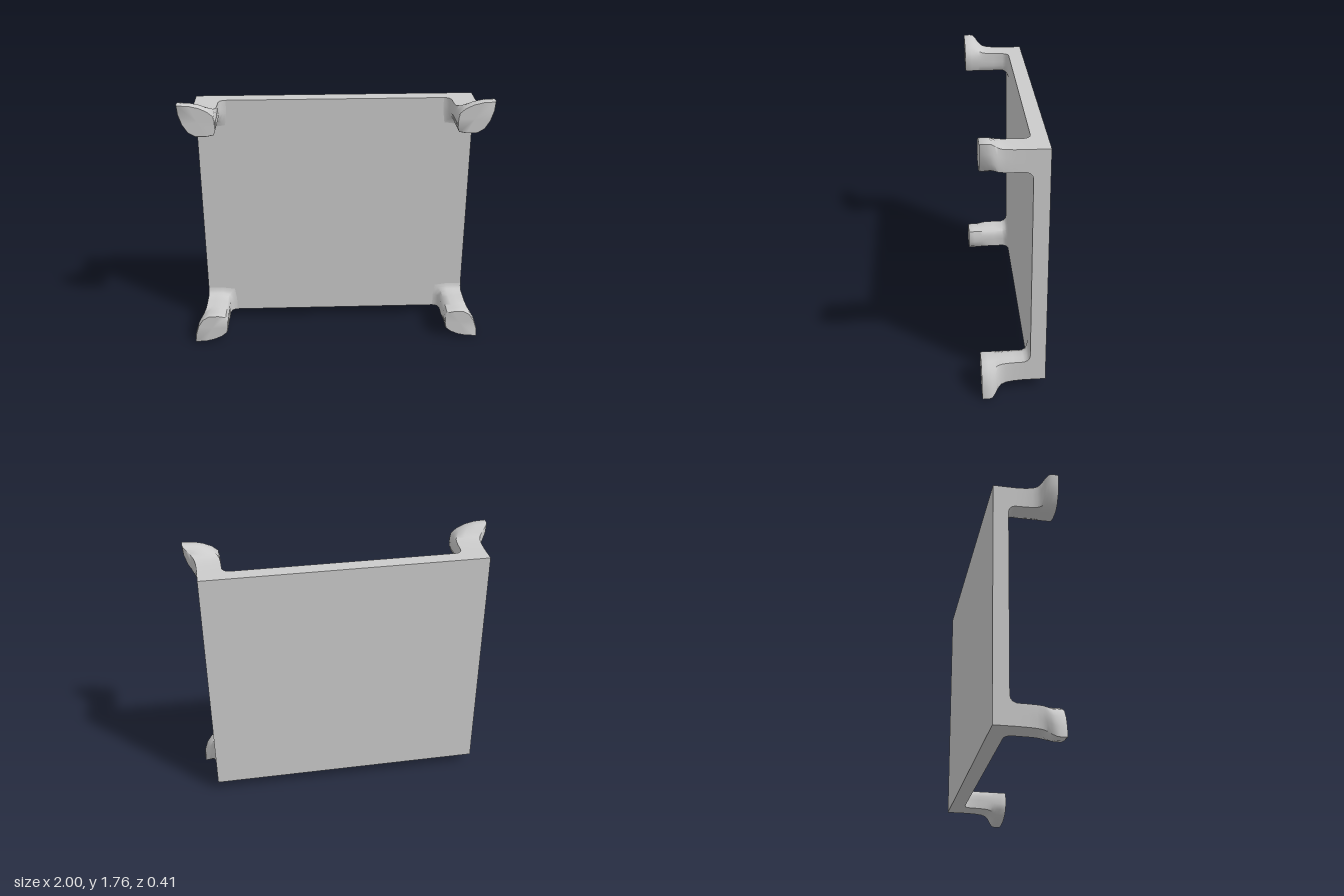
import * as THREE from 'three';
import { toCreasedNormals } from 'three/addons/utils/BufferGeometryUtils.js';

const MID_Y = 0.88, HALF_W = 0.92, HALF_H = 0.805;
const BACK = -0.204, FACE = -0.105, FRONT = 0.204;

// Matching outlines, measured from the leg's inner corner outward
const SHANK = [
  [0, 0.05], [0.012, 0.012], [0.05, 0], [0.1, 0], [0.155, 0], [0.155, 0.045], [0.155, 0.09],
  [0.155, 0.14], [0.11, 0.14], [0.055, 0.14], [0, 0.14], [0, 0.11], [0, 0.08],
];
const FOOT = [
  [0, 0.05], [0.013, 0.012], [0.06, 0.002], [0.13, 0.003], [0.175, 0.03], [0.21, 0.085], [0.23, 0.15],
  [0.235, 0.215], [0.16, 0.211], [0.1, 0.197], [0.045, 0.172], [0.008, 0.14], [0, 0.1],
];

// Sections along the leg: z, blend from shank to foot, fillet width, rim inset
const SECTIONS = [
  [FACE, 0, 0.045, 0], [-0.1, 0, 0.025, 0], [-0.088, 0, 0.01, 0], [-0.065, 0, 0, 0],
  [0, 0.03, 0, 0], [0.05, 0.09, 0, 0], [0.08, 0.2, 0, 0], [0.1, 0.4, 0, 0],
  [0.12, 0.72, 0, 0], [0.14, 0.95, 0, 0], [0.16, 1, 0, 0], [0.197, 1, 0, 0], [FRONT, 1, 0, 0.04],
];

function legGeometry(sx, sy) {
  const n = SHANK.length, positions = [], index = [];
  for (const [z, blend, fillet, inset] of SECTIONS) {
    for (let i = 0; i < n; i++) {
      let u = THREE.MathUtils.lerp(SHANK[i][0], FOOT[i][0], blend);
      let v = THREE.MathUtils.lerp(SHANK[i][1], FOOT[i][1], blend);
      if (SHANK[i][0] < 0.02) u -= fillet;
      if (SHANK[i][1] < 0.02) v -= fillet;
      u += (0.11 - u) * inset;
      v += (0.1 - v) * inset;
      positions.push(sx * (0.765 + u), MID_Y + sy * (0.665 + v), z);
    }
  }
  // Mirrored corners need the opposite winding
  const tri = (a, b, c) => (sx * sy > 0 ? index.push(a, b, c) : index.push(a, c, b));
  const last = (SECTIONS.length - 1) * n, centre = positions.length / 3;
  positions.push(sx * 0.875, MID_Y + sy * 0.765, FRONT);
  for (let i = 0; i < n; i++) {
    const j = (i + 1) % n;
    for (let s = 0; s < last; s += n) {
      tri(s + i, s + j, s + n + j);
      tri(s + i, s + n + j, s + n + i);
    }
    tri(last + i, last + j, centre);
  }
  const geometry = new THREE.BufferGeometry();
  geometry.setAttribute('position', new THREE.Float32BufferAttribute(positions, 3));
  geometry.setIndex(index);
  return toCreasedNormals(geometry, 1.0);
}

export function createModel() {
  const group = new THREE.Group();
  group.name = 'squareTable';
  const material = new THREE.MeshStandardMaterial({ color: 0xcccccc });

  // Flat square top, standing upright
  const top = new THREE.Mesh(new THREE.BoxGeometry(HALF_W * 2, HALF_H * 2, FACE - BACK), material);
  top.name = 'tableTop';
  top.position.set(0, MID_Y, (FACE + BACK) / 2);
  group.add(top);

  // Four short legs with feet flaring out toward the corners
  for (const sx of [-1, 1]) {
    for (const sy of [-1, 1]) {
      const leg = new THREE.Mesh(legGeometry(sx, sy), material);
      leg.name = (sy > 0 ? 'upper' : 'lower') + (sx > 0 ? 'Left' : 'Right') + 'Leg';
      group.add(leg);
    }
  }
  return group;
}
